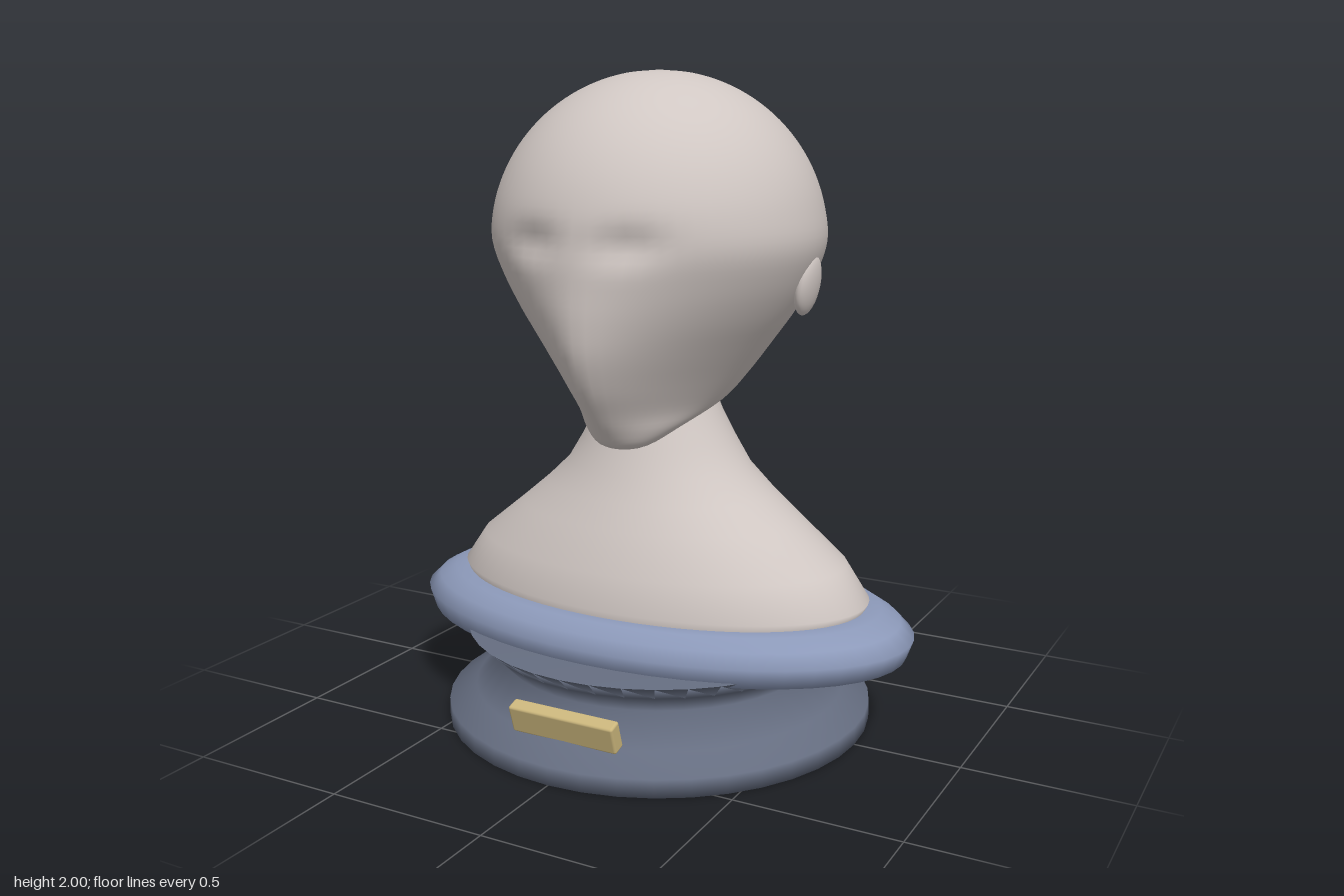
import * as THREE from 'three';
import { RoundedBoxGeometry } from 'three/addons/geometries/RoundedBoxGeometry.js';

const SEG = 64;

// Skin horizontal rings, listed top to bottom; point(row, t) gives [x, y, z]
function loft(rows, point) {
  const pos = [], index = [];
  rows.forEach((row, i) => {
    for (let j = 0; j < SEG; j++) {
      pos.push(...point(row, (j / SEG) * Math.PI * 2));
      if (i === rows.length - 1) continue;
      const a = i * SEG + j, b = i * SEG + (j + 1) % SEG;
      index.push(a, a + SEG, b, b, a + SEG, b + SEG);
    }
  });
  const geo = new THREE.BufferGeometry();
  geo.setAttribute('position', new THREE.Float32BufferAttribute(pos, 3));
  geo.setIndex(index);
  geo.computeVertexNormals();
  return geo;
}

function lathe(points, segments) {
  return new THREE.LatheGeometry(points.map(([r, y]) => new THREE.Vector2(r, y)), segments);
}

// Head: round skull above, tapering to a wedge-shaped face and chin below
function headGeometry() {
  // y, half width, centre z, front z, back z, wedge amount
  const keys = [];
  for (let i = 0; i < 8; i++) {
    const a = (i / 8) * Math.PI / 2, r = 0.508 * Math.sin(a);
    keys.push([1.5 + 0.5 * Math.cos(a), r, 0, r, -r * 0.985, 0]);
  }
  keys.push(
    [1.5, 0.508, 0, 0.51, -0.5, 0.04],
    [1.4, 0.475, 0, 0.513, -0.485, 0.15],
    [1.3, 0.42, 0, 0.514, -0.44, 0.28],
    [1.2, 0.35, 0, 0.5, -0.37, 0.4],
    [1.1, 0.278, 0, 0.455, -0.275, 0.45],
    [1.02, 0.215, 0.03, 0.395, -0.18, 0.4],
    [0.96, 0.15, 0.15, 0.345, 0.08, 0.3],
    [0.91, 0.08, 0.22, 0.295, 0.16, 0.1],
    [0.89, 0, 0.23, 0.23, 0.23, 0],
  );
  const spline = new THREE.CubicInterpolant(keys.map((_, i) => i), keys.flat(), 6);
  const rows = [], steps = (keys.length - 1) * 4;
  for (let i = 0; i <= steps; i++) rows.push(Array.from(spline.evaluate(i / 4)));
  return loft(rows, ([y, w, zc, zf, zb, wedge], t) => {
    const s = Math.sin(t), c = Math.cos(t), x = Math.max(w, 0) * s;
    if (c < 0) return [x, y, zc - (zb - zc) * c];
    const ridge = (1.005 - Math.sqrt(s * s + 0.01)) / 0.905;
    const z = zc + (zf - zc) * THREE.MathUtils.lerp(c, ridge, wedge);
    // shallow eye hollows under the brow
    const hollow = 0.028 * Math.exp(-(((Math.abs(x) - 0.15) / 0.09) ** 2) - ((y - 1.52) / 0.05) ** 2);
    return [x, y, z - hollow];
  });
}

export function createModel() {
  const model = new THREE.Group();
  const mat = (name, color) => {
    const m = new THREE.MeshStandardMaterial({ color });
    m.name = name;
    return m;
  };
  const stone = mat('pale stone', 0xd0c7c3);
  const blue = mat('collar blue', 0x8c99b9);
  const slate = mat('slate', 0x656d80);
  const brass = mat('brass', 0xcbb67c);
  const add = (name, geometry, material) => {
    const mesh = new THREE.Mesh(geometry, material);
    mesh.name = name;
    model.add(mesh);
    return mesh;
  };

  // Waisted round pedestal
  add('pedestal', lathe([
    [0, 0], [0.67, 0], [0.67, 0.055], [0.585, 0.1], [0.495, 0.185],
    [0.55, 0.245], [0.605, 0.295], [0, 0.297],
  ], 40), slate);

  // Oval collar around the shoulders
  const collar = lathe([
    [0, 0.28], [0.81, 0.28], [0.832, 0.34], [0.79, 0.38], [0.73, 0.412], [0.67, 0.415], [0, 0.415],
  ], 48);
  collar.scale(1, 1, 0.58);
  add('collar', collar, blue);

  // Neck and shoulders: y, half width, half depth
  const bust = [
    [1.04, 0.17, 0.17], [0.97, 0.2, 0.195], [0.89, 0.245, 0.222], [0.81, 0.295, 0.25],
    [0.735, 0.375, 0.283], [0.66, 0.465, 0.318], [0.54, 0.615, 0.37],
    [0.435, 0.69, 0.393], [0.4, 0.672, 0.386],
  ];
  add('neckAndShoulders', loft(bust, ([y, w, d], t) => [w * Math.sin(t), y, d * Math.cos(t)]), stone);

  add('head', headGeometry(), stone);

  // Ears lean outward with the side of the head
  for (const side of [-1, 1]) {
    const ear = add(side > 0 ? 'leftEar' : 'rightEar', new THREE.SphereGeometry(1, 24, 16), stone);
    ear.scale.set(0.03, 0.092, 0.066);
    ear.position.set(side * 0.472, 1.382, -0.038);
    ear.rotation.z = -side * 0.17;
  }

  // Tilted blank plaque on the front of the pedestal
  const plaque = add('plaque', new RoundedBoxGeometry(0.35, 0.09, 0.045, 2, 0.008), brass);
  plaque.position.set(0, 0.143, 0.574);
  plaque.rotation.x = 0.3;

  return model;
}
